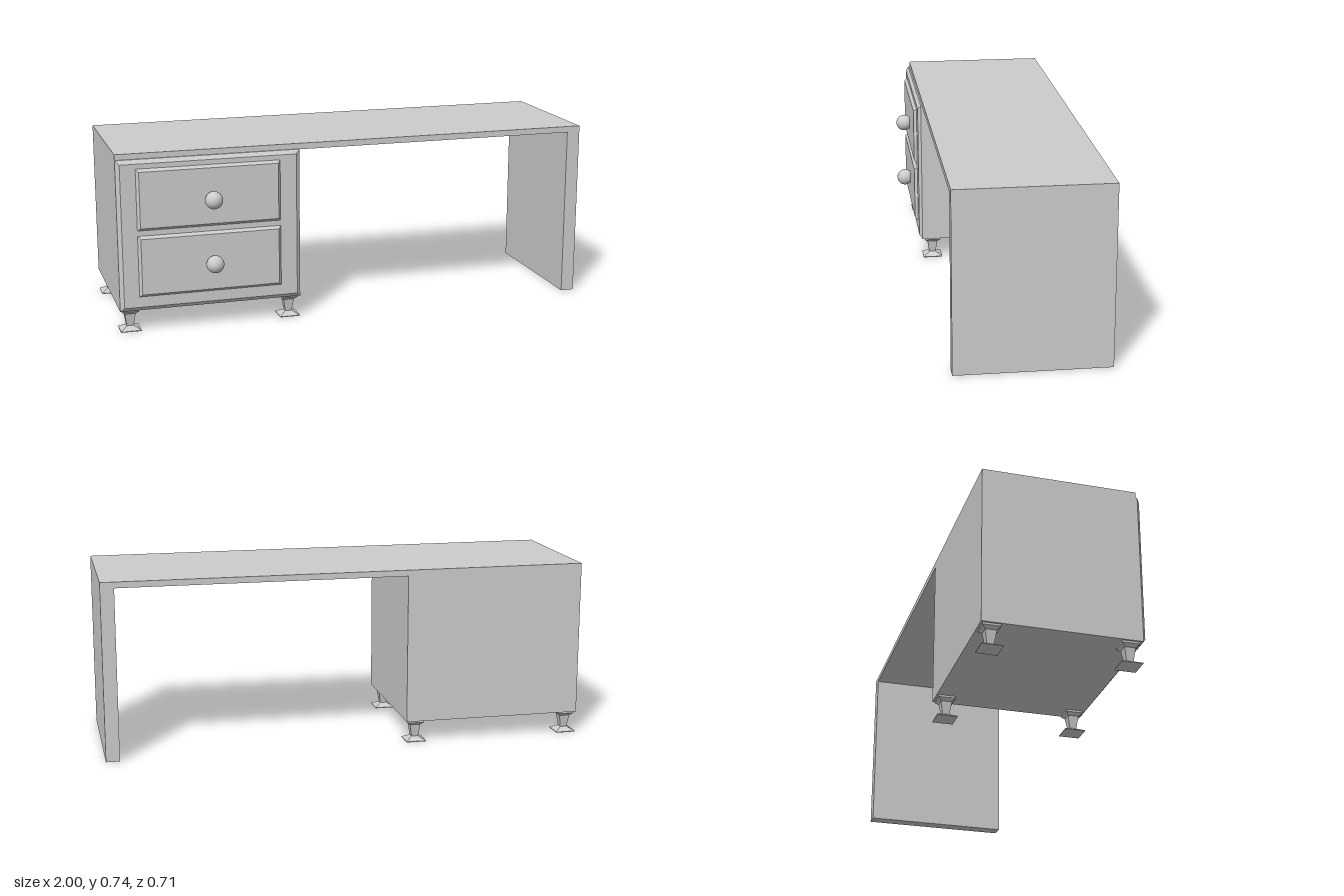
import * as THREE from 'three';

const grey = new THREE.MeshStandardMaterial({ color: 0xcccccc });
grey.name = 'plain grey';

// Box given by its limits; the front (+z) face can be inset to form a bevel
function block(name, [x0, x1], [y0, y1], [z0, z1], inset = 0) {
  const w = x1 - x0, h = y1 - y0;
  const geo = new THREE.BoxGeometry(w, h, z1 - z0);
  const p = geo.attributes.position;
  for (let i = 0; i < p.count; i++) {
    if (p.getZ(i) > 0) {
      p.setX(i, p.getX(i) * (1 - 2 * inset / w));
      p.setY(i, p.getY(i) * (1 - 2 * inset / h));
    }
  }
  geo.computeVertexNormals();
  const mesh = new THREE.Mesh(geo, grey);
  mesh.name = name;
  mesh.position.set((x0 + x1) / 2, (y0 + y1) / 2, (z0 + z1) / 2);
  return mesh;
}

// Square foot: tapered block on a thin stem that flares to a pad
function footGeometry() {
  const profile = [[0, 0], [0.042, 0], [0.042, 0.003], [0.014, 0.018], [0.022, 0.07], [0.035, 0.082], [0.035, 0.092], [0, 0.092]]
    .map(([half, y]) => new THREE.Vector2(half * Math.SQRT2, y));
  const geo = new THREE.LatheGeometry(profile, 4, Math.PI / 4).toNonIndexed();
  geo.computeVertexNormals();
  return geo;
}

export function createModel() {
  const desk = new THREE.Group();
  desk.name = 'desk';
  const depth = [-0.355, 0.263];

  // Top and side panel
  desk.add(block('deskTop', [-1, 1], [0.71, 0.735], depth));
  desk.add(block('sidePanel', [0.944, 1], [0, 0.71], depth));

  // Drawer cabinet with bevelled front
  desk.add(block('cabinet', [-1, -0.25], [0.09, 0.71], depth));
  desk.add(block('cabinetFrontEdge', [-1, -0.25], [0.09, 0.712], [0.263, 0.269]));
  desk.add(block('cabinetFront', [-1, -0.25], [0.09, 0.712], [0.269, 0.282], 0.016));

  // Drawer panels and knobs
  const knobGeo = new THREE.SphereGeometry(0.036, 32, 20);
  for (const [y0, y1, knobY] of [[0.15, 0.402, 0.271], [0.424, 0.676, 0.537]]) {
    desk.add(block('drawerPanel', [-0.922, -0.334], [y0, y1], [0.282, 0.295], 0.011));
    const knob = new THREE.Mesh(knobGeo, grey);
    knob.name = 'drawerKnob';
    knob.position.set(-0.617, knobY, 0.319);
    desk.add(knob);
  }

  // Feet under the cabinet corners
  const footGeo = footGeometry();
  for (const x of [-0.957, -0.293]) {
    for (const z of [-0.312, 0.223]) {
      const foot = new THREE.Mesh(footGeo, grey);
      foot.name = 'foot';
      foot.position.set(x, 0, z);
      desk.add(foot);
    }
  }
  return desk;
}
